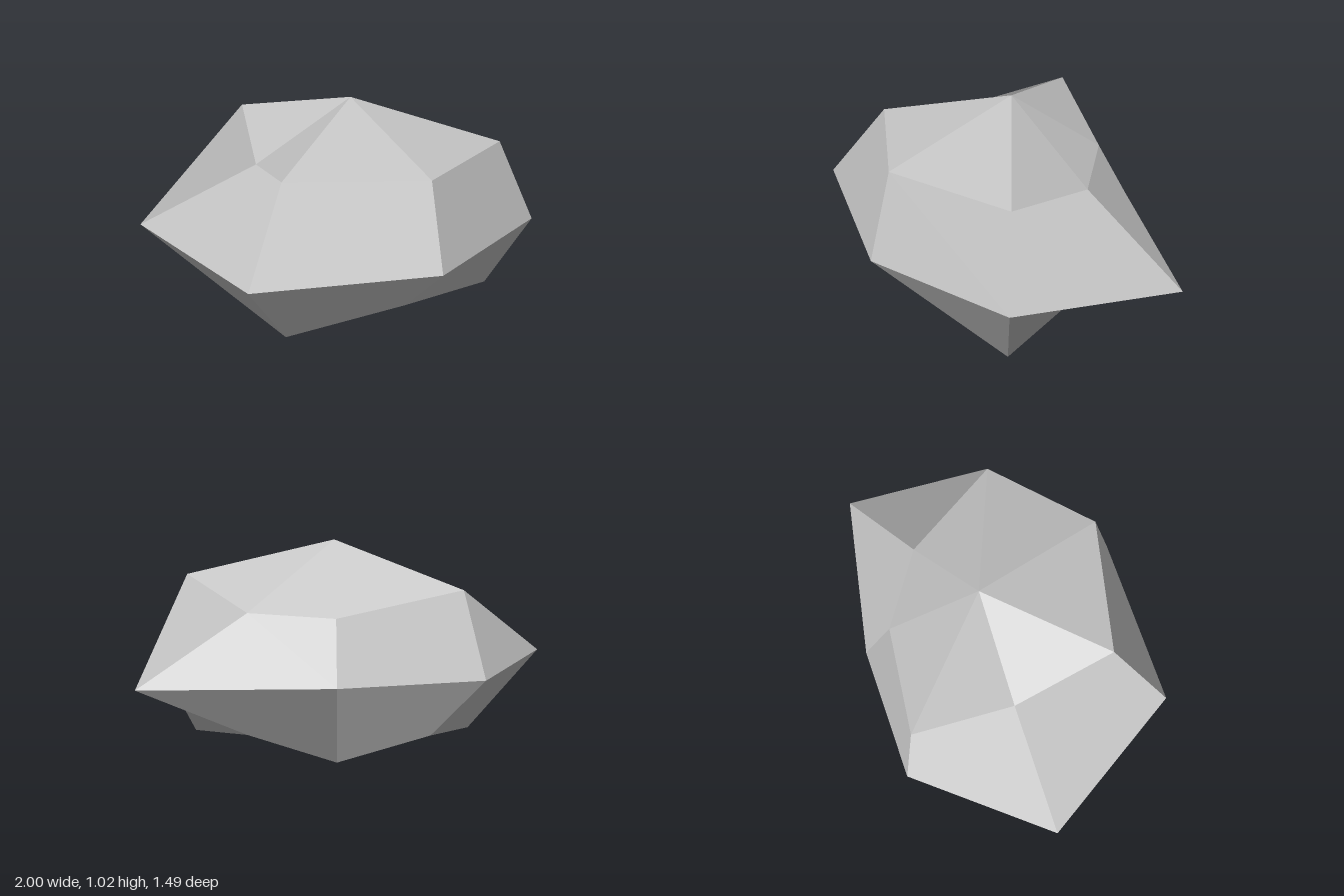
import * as THREE from 'three';

export function createModel() {
  const group = new THREE.Group();
  const stone = new THREE.MeshStandardMaterial({ color: 0xc4c4c4 });
  stone.name = 'stone grey';

  // three seven-cornered rings, counter-clockwise from the left tip, as [x, y, z]
  const ring = (points) => points.map((p) => new THREE.Vector3(...p));
  const upper = ring([[-0.41, 0.7, -0.04], [-0.26, 0.84, 0.46], [0.42, 0.86, 0.495], [0.81, 0.84, 0.01],
    [0.48, 0.71, -0.42], [0.07, 0.71, -0.59], [-0.51, 0.83, -0.54]]);
  const waist = ring([[-1, 0.425, 0.08], [-0.41, 0.425, 0.745], [0.48, 0.425, 0.605], [1, 0.425, 0.05],
    [0.95, 0.425, -0.745], [0.07, 0.425, -0.745], [-0.61, 0.425, -0.61]]);
  const lower = ring([[-0.63, 0.025, 0.005], [-0.26, 0, 0.475], [0.335, 0.095, 0.345], [0.79, 0.022, 0.01],
    [0.49, 0.125, -0.43], [0.07, 0.07, -0.69], [-0.38, 0.12, -0.45]]);
  const peak = new THREE.Vector3(0.07, 1.025, -0.135);
  const base = new THREE.Vector3(0.07, 0.008, -0.135);

  const positions = [];
  const normals = [];

  // one facet of three or four corners, fanned from its first, sharing a single averaged normal
  const facet = (...corners) => {
    const normal = new THREE.Vector3();
    for (let k = 1; k < corners.length - 1; k++) {
      const [a, b, c] = [corners[0], corners[k], corners[k + 1]];
      normal.add(b.clone().sub(a).cross(c.clone().sub(a)));
      positions.push(...a, ...b, ...c);
    }
    normal.normalize();
    for (let k = 0; k < (corners.length - 2) * 3; k++) normals.push(...normal);
  };

  // cap, two sloping bands and underside
  for (let i = 0; i < 7; i++) {
    const j = (i + 1) % 7;
    facet(peak, upper[i], upper[j]);
    facet(upper[i], waist[i], waist[j], upper[j]);
    facet(waist[i], lower[i], lower[j], waist[j]);
    facet(base, lower[j], lower[i]);
  }

  const geometry = new THREE.BufferGeometry();
  geometry.setAttribute('position', new THREE.Float32BufferAttribute(positions, 3));
  geometry.setAttribute('normal', new THREE.Float32BufferAttribute(normals, 3));

  const rock = new THREE.Mesh(geometry, stone);
  rock.name = 'rock';
  group.add(rock);
  return group;
}
